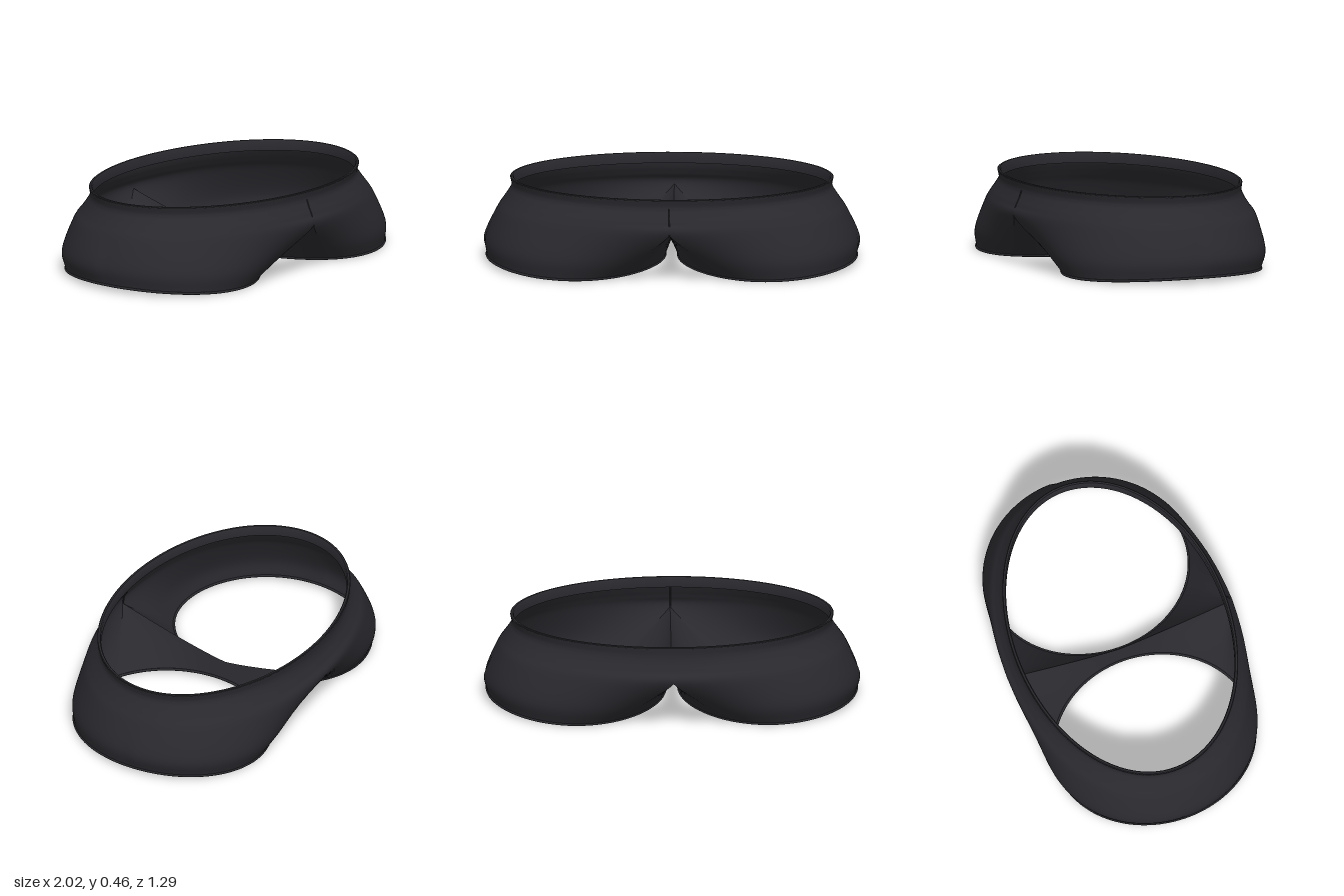
import * as THREE from 'three';
import { mergeVertices, mergeGeometries, toCreasedNormals } from 'three/addons/utils/BufferGeometryUtils.js';

const V = (x, y, z) => new THREE.Vector3(x, y, z);
const DEG = Math.PI / 180;
const APEX = 120; // leg angle at which the centre seam leaves the body

// Body rings from the waist down: height, half width, front z, back z, roundness
const RINGS = [
  [0.455, 0.87, 0.605, 0.585, 2],
  [0.41, 0.863, 0.598, 0.583, 2],
  [0.37, 0.882, 0.613, 0.592, 2.05],
  [0.33, 0.908, 0.632, 0.612, 2.1],
  [0.27, 0.945, 0.645, 0.638, 2.2],
];

// Point on a body ring; theta runs from -90 (back centre) over the side to 90 (front centre)
function ringPoint([y, rx, zf, zb, n], theta) {
  const c = Math.max(0, Math.cos(theta * DEG)), s = Math.sin(theta * DEG);
  const e = 2 / n;
  return V(rx * c ** e, y, (s > 0 ? zf : -zb) * Math.abs(s) ** e);
}

// Point on the left leg opening
function legPoint(phi) {
  const s = Math.sin(phi * DEG);
  return V(0.515 + 0.48 * Math.cos(phi * DEG), 0.007 + 0.023 * (1 - s * s), 0.015 + 0.55 * s);
}

// Crotch seam between the legs; u = 1 at the front, -1 at the back
function seamPoint(u) {
  return V(0, 0.12 + 0.15 * Math.abs(u) ** 1.25, u * (u > 0 ? RINGS[4][2] : RINGS[4][3]));
}

function outerColumn(phi) {
  const pts = RINGS.map((r) => ringPoint(r, (phi * 90) / APEX));
  const leg = legPoint(phi);
  const bulge = (phi < 0 ? 0.036 : 0.028) * (1 - (phi / APEX) ** 4);
  const mid = pts[4].clone().lerp(leg, 0.6);
  mid.x += bulge * Math.cos(phi * DEG);
  mid.z += bulge * Math.sin(phi * DEG);
  return sample([...pts, mid, leg], 0, 36);
}

function innerColumn(phi) {
  const u = Math.max(-1, Math.min(1, Math.sin(phi * DEG) / Math.sin(APEX * DEG)));
  const seam = seamPoint(u), leg = legPoint(phi);
  const side = u > 0 ? 90 : -90;
  // lead-in point keeps the curve continuous with the body at the apex
  const lead = ringPoint(RINGS[3], side).sub(ringPoint(RINGS[4], side)).multiplyScalar(Math.abs(u)).add(seam);
  return sample([lead, seam, seam.clone().lerp(leg, 0.6), leg], 1 / 3, 12);
}

function sample(points, t0, steps) {
  const curve = new THREE.CatmullRomCurve3(points, false, 'catmullrom', 0.5);
  return Array.from({ length: steps + 1 }, (_, j) => curve.getPoint(t0 + ((1 - t0) * j) / steps));
}

// Surface through columns of points, optionally mirrored in x
function grid(columns, mirror) {
  const rows = columns[0].length, pos = [], idx = [];
  for (const col of columns) for (const p of col) pos.push(mirror ? -p.x : p.x, p.y, p.z);
  for (let i = 0; i < columns.length - 1; i++) {
    for (let j = 0; j < rows - 1; j++) {
      const a = i * rows + j, b = a + rows;
      if (mirror) idx.push(a, a + 1, b, b, a + 1, b + 1);
      else idx.push(a, b, a + 1, b, b + 1, a + 1);
    }
  }
  const g = new THREE.BufferGeometry();
  g.setAttribute('position', new THREE.Float32BufferAttribute(pos, 3));
  g.setIndex(idx);
  return g;
}

function bothSides(...columnSets) {
  const parts = columnSets.flatMap((c) => [grid(c, false), grid(c, true)]);
  return toCreasedNormals(mergeVertices(mergeGeometries(parts), 1e-4), 0.7);
}

const range = (a, b, n) => Array.from({ length: n + 1 }, (_, i) => a + ((b - a) * i) / n);

export function createModel() {
  const model = new THREE.Group();
  const cloth = new THREE.MeshStandardMaterial({ color: 0x29292e, side: THREE.DoubleSide });
  const add = (name, geometry) => {
    const mesh = new THREE.Mesh(geometry, cloth);
    mesh.name = name;
    model.add(mesh);
  };

  // Body with both legs, and the gusset between them
  add('body', bothSides(
    range(-APEX, APEX, 72).map(outerColumn),
    range(APEX, 360 - APEX, 40).map(innerColumn),
  ));

  // Turned-in waistband: inward offset and height of its profile
  const lip = [[0.02, 0.4], [0.02, 0.45], [0.014, 0.458], [0.004, 0.458], [0, 0.452]];
  add('waistband', bothSides(range(-90, 90, 64).map((theta) => lip.map(([d, y]) =>
    ringPoint([y, 0.87 - d, 0.605 - d, 0.585 - d, 2], theta)))));

  // Hems around the leg openings
  for (const side of [1, -1]) {
    const loop = range(0, 360, 60).slice(0, -1).map((phi) => legPoint(phi).multiply(V(side, 1, 1)));
    add(side > 0 ? 'leftHem' : 'rightHem',
      new THREE.TubeGeometry(new THREE.CatmullRomCurve3(loop, true), 120, 0.007, 8, true));
  }

  // Short stitched seam at the front centre
  const stitch = new THREE.CatmullRomCurve3(RINGS.slice(1).map((r) => ringPoint(r, 90)));
  add('frontSeam', new THREE.TubeGeometry(stitch, 24, 0.004, 6));

  return model;
}
